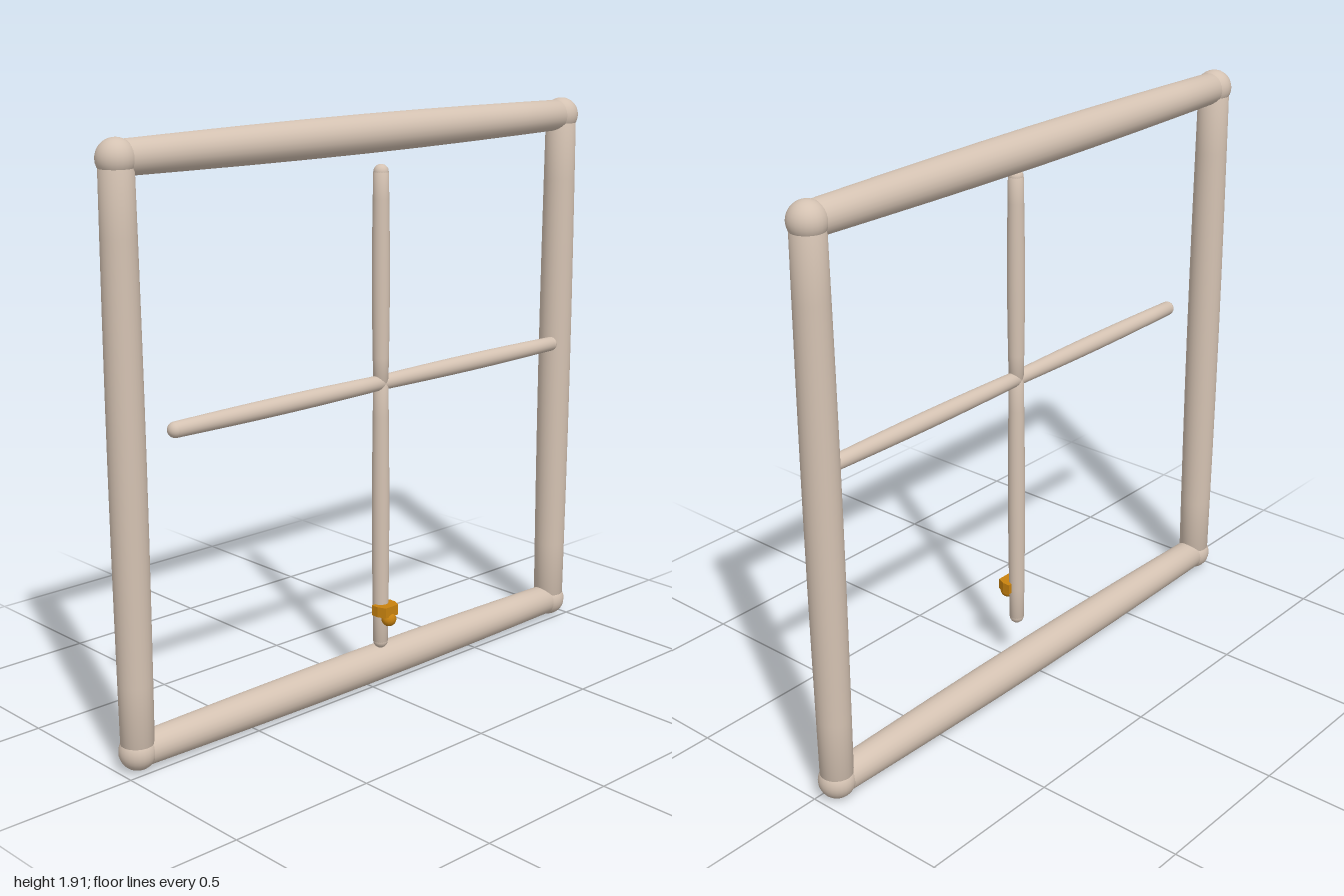
import * as THREE from 'three';

const beige = new THREE.MeshStandardMaterial({ color: 0xd4c2b2 });
beige.name = 'beige tube';
const gold = new THREE.MeshStandardMaterial({ color: 0xc8820f });
gold.name = 'gold';

// Round rod along +y from the origin, slightly thicker at its middle
function rodGeometry(length, endRadius, midRadius) {
  const points = [new THREE.Vector2(0, 0)];
  const steps = 8;
  for (let i = 0; i <= steps; i++) {
    const t = i / steps;
    const r = endRadius + (midRadius - endRadius) * Math.sin(Math.PI * t);
    points.push(new THREE.Vector2(r, t * length));
  }
  points.push(new THREE.Vector2(0, length));
  return new THREE.LatheGeometry(points, 24);
}

function add(group, name, geometry, material, x, y, z) {
  const mesh = new THREE.Mesh(geometry, material);
  mesh.name = name;
  mesh.position.set(x, y, z);
  group.add(mesh);
  return mesh;
}

export function createModel() {
  const model = new THREE.Group();
  model.name = 'crossFrame';

  // Square outer frame with ball corners
  const frame = new THREE.Group();
  frame.name = 'outerFrame';
  model.add(frame);
  const halfW = 0.941, low = 0.062, high = 1.851, frameZ = -0.042;
  const post = rodGeometry(high - low, 0.052, 0.057);
  const rail = rodGeometry(halfW * 2, 0.052, 0.062);
  const ball = new THREE.SphereGeometry(0.059, 24, 16);
  for (const side of [-1, 1]) {
    add(frame, side > 0 ? 'leftPost' : 'rightPost', post, beige, side * halfW, low, frameZ);
    for (const y of [low, high]) add(frame, 'cornerBall', ball, beige, side * halfW, y, frameZ);
  }
  for (const y of [low, high]) {
    add(frame, y === low ? 'bottomRail' : 'topRail', rail, beige, -halfW, y, frameZ).rotation.z = -Math.PI / 2;
  }

  // Thin cross in front, four arms with rounded tips
  const cross = new THREE.Group();
  cross.name = 'cross';
  cross.position.set(0, 1.065, 0.037);
  model.add(cross);
  const tip = new THREE.SphereGeometry(0.0245, 20, 12);
  const arms = [
    ['upperArm', 0.675, 0], ['leftArm', 0.823, -Math.PI / 2],
    ['lowerArm', 0.885, Math.PI], ['rightArm', 0.823, Math.PI / 2],
  ];
  for (const [name, length, angle] of arms) {
    add(cross, name, rodGeometry(length, 0.0245, 0.0285), beige, 0, 0, 0).rotation.z = angle;
    add(cross, name + 'Tip', tip, beige, -Math.sin(angle) * length, Math.cos(angle) * length, 0);
  }

  // Gold clasp: half-octagonal block with a small bead below
  const outline = new THREE.Shape();
  outline.moveTo(-0.04, -0.038);
  outline.lineTo(-0.04, -0.064);
  outline.lineTo(-0.028, -0.092);
  outline.lineTo(0.028, -0.092);
  outline.lineTo(0.04, -0.064);
  outline.lineTo(0.04, -0.038);
  const block = new THREE.ExtrudeGeometry(outline, { depth: 0.035, bevelEnabled: false });
  block.rotateX(-Math.PI / 2);
  add(model, 'claspBlock', block, gold, 0, 0.28, 0);
  add(model, 'claspBead', new THREE.SphereGeometry(0.025, 16, 12), gold, 0, 0.268, 0.077);

  return model;
}
